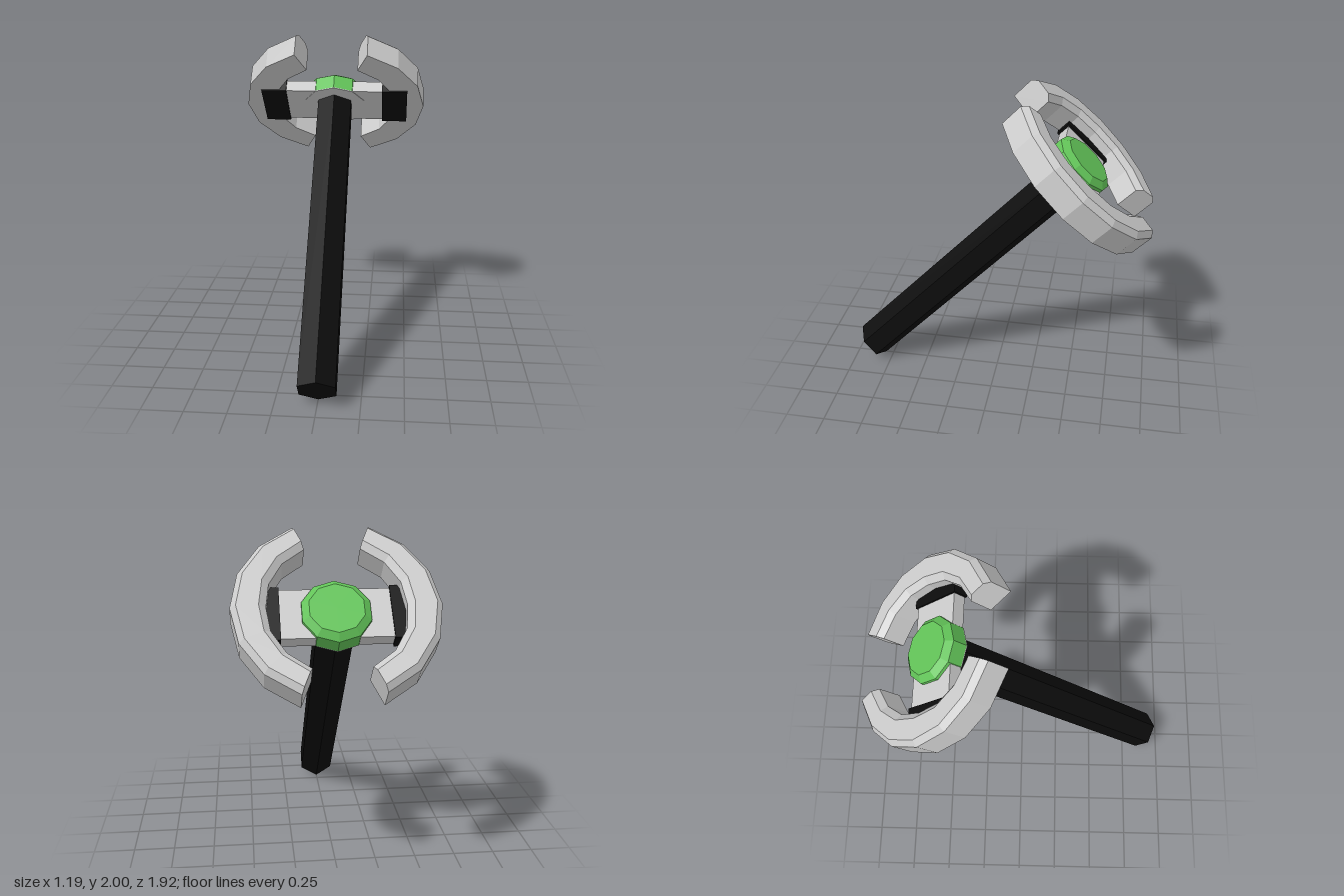
import * as THREE from 'three';

const mat = (color) => new THREE.MeshStandardMaterial({ color, flatShading: true });
const grey = mat(0xcccccc), black = mat(0x0c0c0c), green = mat(0x62c358);

function part(parent, name, geometry, material, x = 0, y = 0, z = 0) {
  const mesh = new THREE.Mesh(geometry, material);
  mesh.name = name;
  mesh.position.set(x, y, z);
  parent.add(mesh);
  return mesh;
}

// Half of the rim: a bevelled section swept through seven stations
function rimGeometry() {
  // radius, height, and how much the radius grows toward the ends
  const section = [[0.594, 0, 0], [0.594, 0.15, 0], [0.56, 0.183, 0],
    [0.435, 0.183, 0.03], [0.395, 0.15, 0.03], [0.395, 0, 0.03]];
  const n = section.length, stations = 7;
  const positions = [], index = [];
  for (let i = 0; i < stations; i++) {
    const a = (i - 3) * Math.PI / 8;
    const grow = Math.abs(i - 3) / 3;
    for (const [r, h, g] of section) {
      const radius = r + g * grow;
      positions.push(radius * Math.cos(a), h, radius * Math.sin(a));
    }
  }
  for (let i = 0; i < stations - 1; i++) {
    for (let j = 0; j < n; j++) {
      const a = i * n + j, b = i * n + (j + 1) % n;
      index.push(a, b, a + n, b, b + n, a + n);
    }
  }
  // End caps
  const last = (stations - 1) * n;
  for (let j = 1; j < n - 1; j++) {
    index.push(0, j + 1, j, last, last + j, last + j + 1);
  }
  const geometry = new THREE.BufferGeometry();
  geometry.setAttribute('position', new THREE.Float32BufferAttribute(positions, 3));
  geometry.setIndex(index);
  const flat = geometry.toNonIndexed();
  flat.computeVertexNormals();
  return flat;
}

// Hexagonal column whose lower end is cut slightly askew
function columnGeometry() {
  const geometry = new THREE.CylinderGeometry(0.127, 0.127, 1.945, 6);
  geometry.translate(0, -1.945 / 2, 0);
  const p = geometry.attributes.position;
  for (let i = 0; i < p.count; i++) {
    if (p.getY(i) < -1) {
      p.setY(i, p.getY(i) + 0.117 * p.getZ(i));
      p.setZ(i, p.getZ(i) - 0.0125);
    }
  }
  geometry.computeVertexNormals();
  return geometry;
}

export function createModel() {
  const model = new THREE.Group();
  model.name = 'steeringYoke';

  // Everything is built upright, then tilted as one
  const tilted = new THREE.Group();
  tilted.name = 'tiltedAssembly';
  tilted.position.set(0, 1.508, -0.46);
  tilted.rotation.x = -0.769;
  model.add(tilted);

  part(tilted, 'column', columnGeometry(), black);
  part(tilted, 'crossbar', new THREE.BoxGeometry(0.66, 0.08, 0.325), grey, 0, 0.04, 0);

  // Hub: grey base plate, green body and bevelled button top
  part(tilted, 'hubBase', new THREE.CylinderGeometry(0.205, 0.205, 0.006, 10), grey, 0, 0, 0);
  part(tilted, 'hub', new THREE.CylinderGeometry(0.205, 0.205, 0.097, 10), green, 0, 0.0515, 0);
  part(tilted, 'hubTop', new THREE.CylinderGeometry(0.162, 0.205, 0.033, 10), green, 0, 0.1165, 0);

  // Rim halves and their black mounts on both sides
  const rim = rimGeometry();
  for (const side of [1, -1]) {
    const label = side > 0 ? 'left' : 'right';
    const half = part(tilted, label + 'Rim', rim, grey);
    half.rotation.y = side > 0 ? 0 : Math.PI;
    part(tilted, label + 'Mount', new THREE.BoxGeometry(0.165, 0.098, 0.35), black,
      side * 0.4, 0.041, 0);
  }
  return model;
}
